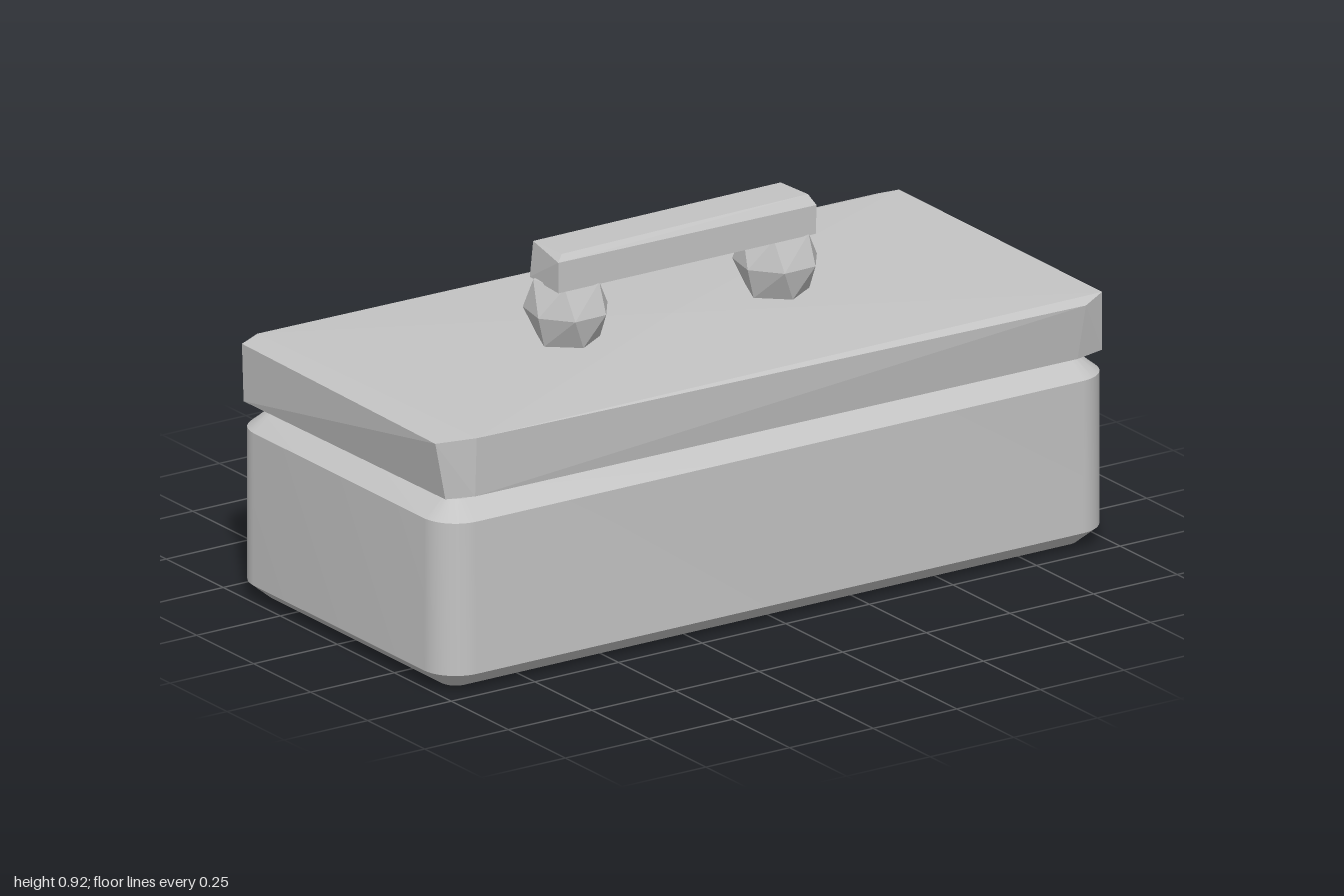
import * as THREE from 'three';
import { toCreasedNormals } from 'three/addons/utils/BufferGeometryUtils.js';
import { ConvexGeometry } from 'three/addons/geometries/ConvexGeometry.js';

const grey = new THREE.MeshStandardMaterial({ color: 0xc4c4c4 });
grey.name = 'plain grey';

function addMesh(parent, name, geometry) {
  const mesh = new THREE.Mesh(geometry, grey);
  mesh.name = name;
  parent.add(mesh);
  return mesh;
}

// Faceted solid wrapped around a few corner points
const hull = (points) => new ConvexGeometry(points.map((p) => new THREE.Vector3(...p)));

function roundedRect(hx, hy, r) {
  const s = new THREE.Shape();
  s.absarc(hx - r, hy - r, r, 0, Math.PI / 2);
  s.absarc(-hx + r, hy - r, r, Math.PI / 2, Math.PI);
  s.absarc(-hx + r, -hy + r, r, Math.PI, Math.PI * 1.5);
  s.absarc(hx - r, -hy + r, r, Math.PI * 1.5, Math.PI * 2);
  s.closePath();
  return s;
}

// Box body: rounded upright corners, single chamfer at top and bottom
function bodyGeometry() {
  const g = new THREE.ExtrudeGeometry(roundedRect(0.945, 0.4125, 0.04), {
    depth: 0.4, bevelThickness: 0.045, bevelSize: 0.055, bevelSegments: 1, curveSegments: 6,
  });
  g.rotateX(-Math.PI / 2).translate(0, 0.045, 0.007);
  return toCreasedNormals(g, 0.6);
}

// Lid: roughly hewn slab with uneven edges
function lidGeometry() {
  return hull([
    [-0.985, 0.655, -0.44], [-0.92, 0.66, -0.468], [0.93, 0.655, -0.458], [0.98, 0.66, -0.44],
    [0.98, 0.657, 0.45], [0.91, 0.645, 0.482], [-0.9, 0.66, 0.465], [-1, 0.655, 0.43], [0, 0.667, 0],
    [-0.98, 0.503, -0.44], [-0.9, 0.505, -0.46], [0.48, 0.5, -0.485], [0.98, 0.505, -0.44],
    [0.98, 0.505, 0.45], [0.9, 0.5, 0.46], [-0.9, 0.505, 0.458], [-0.97, 0.503, 0.43], [0, 0.496, 0],
  ]);
}

// Handle foot: faceted knob, widest at mid height
function footGeometry() {
  const points = [];
  const ring = (y, rx, rz, n, turn) => {
    for (let i = 0; i < n; i++) {
      const a = turn + (i * Math.PI * 2) / n;
      points.push([Math.cos(a) * rx, y, Math.sin(a) * rz]);
    }
  };
  ring(0.664, 0.083, 0.083, 5, 0.4);
  ring(0.745, 0.108, 0.112, 7, 0.2);
  ring(0.825, 0.085, 0.088, 5, 1.0);
  return hull(points);
}

// Handle bar: chipped rectangular beam
function barGeometry() {
  return hull([
    [-0.39, 0.82, 0.075], [-0.38, 0.82, -0.065], [0.38, 0.82, -0.065], [0.38, 0.82, 0.075],
    [-0.37, 0.915, 0.06], [-0.39, 0.9, 0.075], [-0.37, 0.912, -0.065],
    [0.37, 0.92, 0.055], [0.37, 0.915, -0.065], [0.382, 0.895, 0.075], [0.385, 0.9, -0.055],
  ]);
}

export function createModel() {
  const model = new THREE.Group();
  model.name = 'lidded box';
  addMesh(model, 'body', bodyGeometry());
  addMesh(model, 'lid', lidGeometry());

  const handle = new THREE.Group();
  handle.name = 'handle';
  model.add(handle);
  addMesh(handle, 'handleBar', barGeometry());
  for (const [name, x] of [['leftFoot', 0.313], ['rightFoot', -0.313]]) {
    addMesh(handle, name, footGeometry()).position.x = x;
  }
  return model;
}
